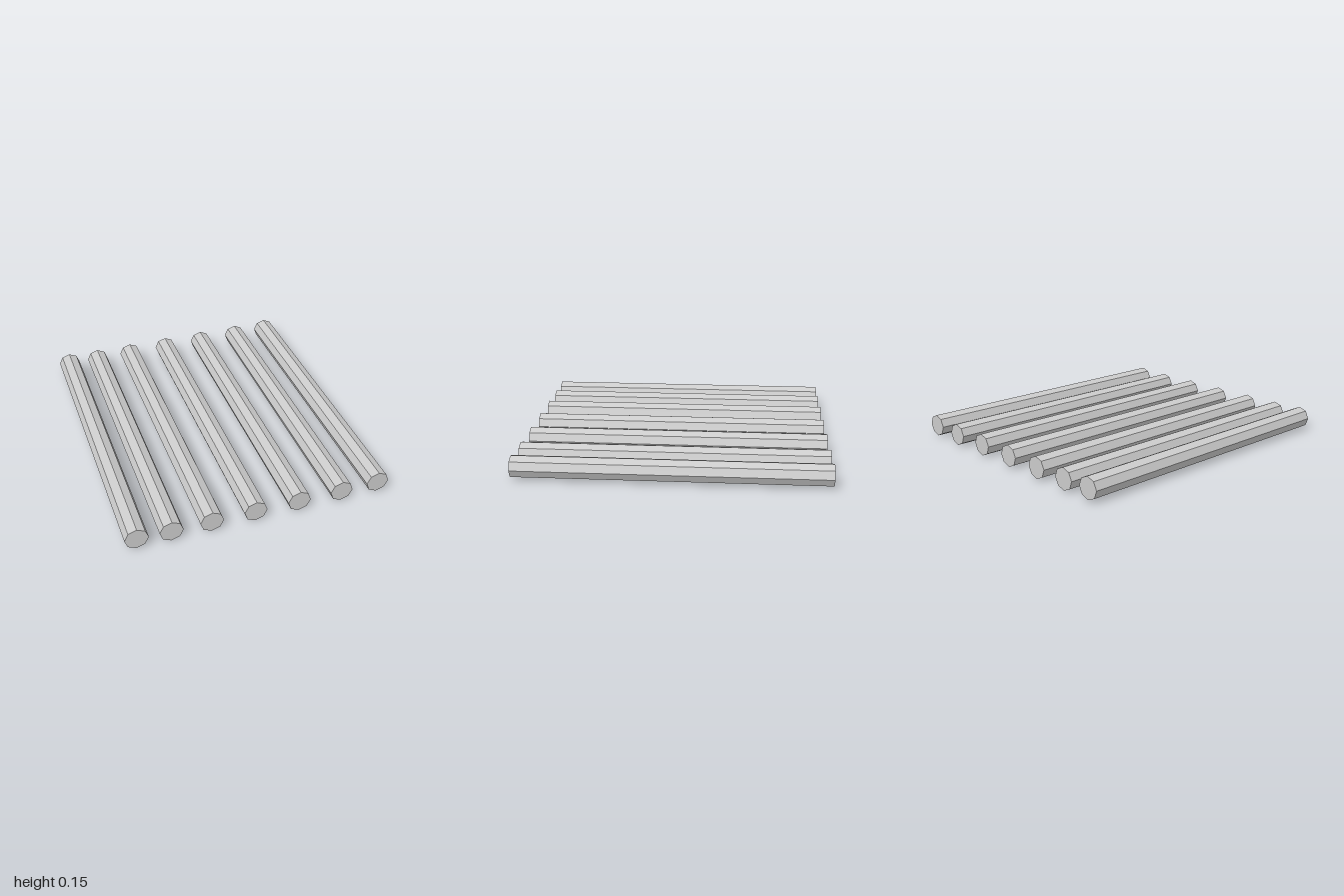
import * as THREE from 'three';

export function createModel() {
  const group = new THREE.Group();
  const material = new THREE.MeshStandardMaterial({ color: 0xcccccc, flatShading: true });

  // Eight-sided log lying along z, rolled slightly off its corner
  const logGeometry = new THREE.CylinderGeometry(0.075, 0.075, 2, 8);
  logGeometry.rotateX(-Math.PI / 2);
  logGeometry.rotateZ(-0.05);
  logGeometry.scale(1, 0.965, 1);

  // Uneven row of logs; the outer two sit a little higher
  const centres = [-0.796, -0.579, -0.322, -0.037, 0.254, 0.543, 0.794];
  centres.forEach((x, i) => {
    const outer = i === 0 || i === centres.length - 1;
    const log = new THREE.Mesh(logGeometry, material);
    log.name = `log${i + 1}`;
    log.position.set(x, outer ? 0.079 : 0.0725, 0);
    group.add(log);
  });

  group.name = 'logRow';
  return group;
}
